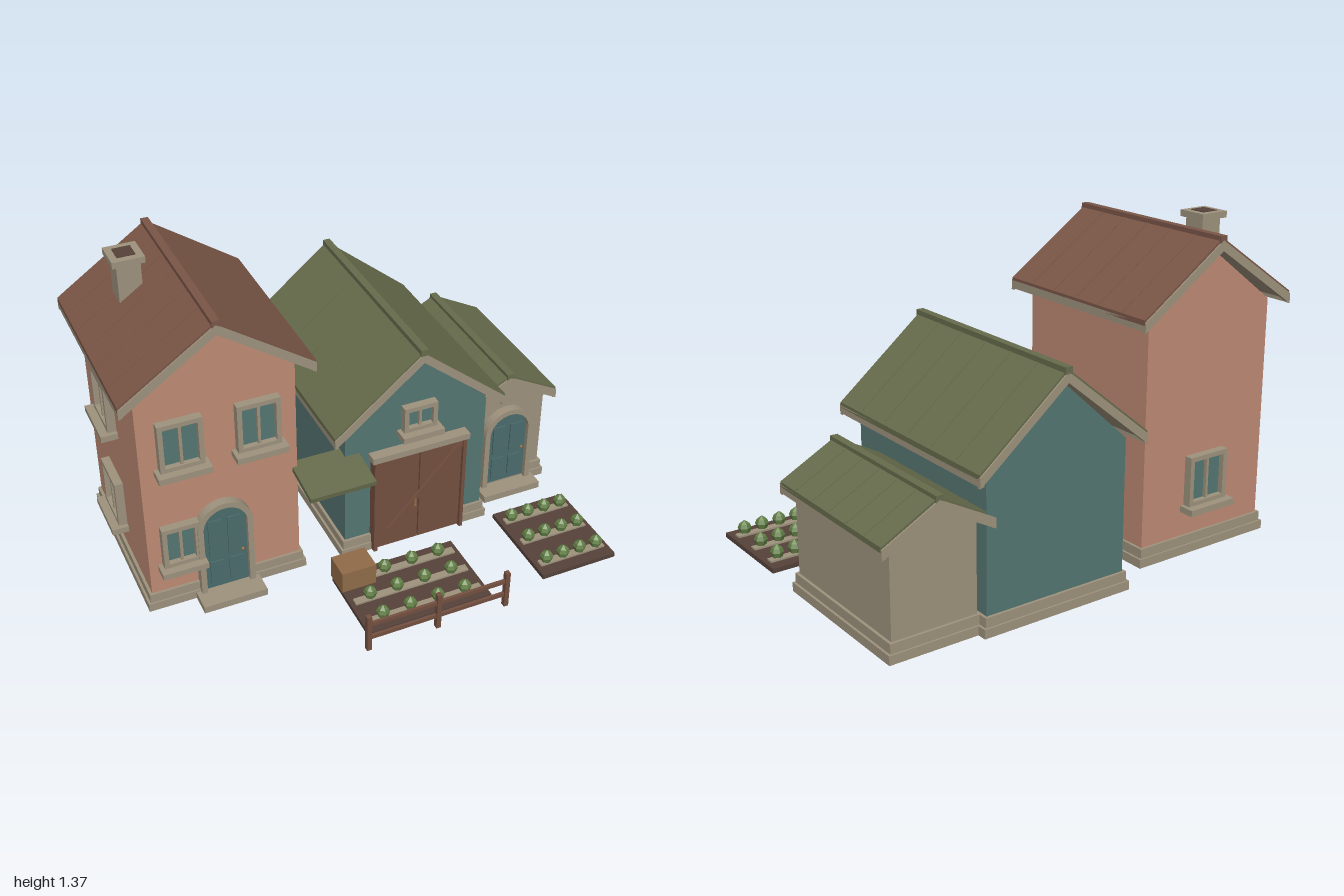
import * as THREE from 'three';

const mat = (name, color, extra = {}) => new THREE.MeshStandardMaterial({ name, color, ...extra });

export function createModel() {
  const root = new THREE.Group();
  root.name = 'farmstead';
  const M = {
    plaster: mat('salmonPlaster', 0xbe8a74),
    teal: mat('tealPaint', 0x557672),
    door: mat('doorTeal', 0x4a6c6b),
    stone: mat('stoneTrim', 0x9e927d),
    clay: mat('clayRoof', 0x7a5647),
    moss: mat('mossRoof', 0x676c4c),
    wood: mat('darkWood', 0x745040),
    soil: mat('soil', 0x55423a),
    leaf: mat('leaf', 0x627f45),
    crate: mat('crateWood', 0x8f6b48),
  };

  // ---- helpers ----
  const add = (parent, name, geo, material, x = 0, y = 0, z = 0) => {
    const m = new THREE.Mesh(geo, material);
    m.name = name;
    m.position.set(x, y, z);
    parent.add(m);
    return m;
  };
  const group = (parent, name, x = 0, y = 0, z = 0) => {
    const g = new THREE.Group();
    g.name = name;
    g.position.set(x, y, z);
    parent.add(g);
    return g;
  };
  // box given by its min and max corners
  const box = (parent, name, material, [x0, x1], [y0, y1], [z0, z1]) =>
    add(parent, name, new THREE.BoxGeometry(x1 - x0, y1 - y0, z1 - z0), material,
      (x0 + x1) / 2, (y0 + y1) / 2, (z0 + z1) / 2);
  const poly = (pts) => new THREE.Shape(pts.map(([x, y]) => new THREE.Vector2(x, y)));
  const extrude = (shape, depth) =>
    new THREE.ExtrudeGeometry(shape, { depth, bevelEnabled: false, curveSegments: 10 });
  const rectPts = (w, h) => [[-w / 2, 0], [w / 2, 0], [w / 2, h], [-w / 2, h]];

  // inverted V following the two roof slopes, `drop` below the top line
  const chevron = (half, apex, eave, drop, thick) => poly([
    [0, apex - drop], [-half, eave - drop], [-half, eave - drop - thick],
    [0, apex - drop - thick], [half, eave - drop - thick], [half, eave - drop]]);

  function gableRoof(parent, { half, apex, eave, z0, z1, material }) {
    const g = group(parent, 'roof');
    add(g, 'roofPanels', extrude(chevron(half, apex, eave, 0, 0.022), z1 - z0 - 0.012), material, 0, 0, z0 + 0.006);
    add(g, 'roofUnderside', extrude(chevron(half - 0.012, apex, eave + 0.008, 0.022, 0.02), z1 - z0 - 0.03), M.stone, 0, 0, z0 + 0.015);
    for (const z of [z0, z1 - 0.018])
      add(g, 'bargeboard', extrude(chevron(half, apex, eave, 0.01, 0.042), 0.018), M.stone, 0, 0, z);
    box(g, 'ridgeCap', material, [-0.016, 0.016], [apex - 0.02, apex + 0.008], [z0, z1]);
    const slope = Math.atan2(apex - eave, half), len = Math.hypot(half, apex - eave);
    for (const s of [-1, 1]) {
      box(g, 'eaveFascia', M.stone, s < 0 ? [-half, -half + 0.016] : [half - 0.016, half],
        [eave - 0.046, eave - 0.012], [z0, z1]);
      // thin seams running down each slope
      for (let i = 1; i < 6; i++) {
        const seam = add(g, 'roofSeam', new THREE.BoxGeometry(len * 0.94, 0.004, 0.006), material,
          s * half / 2, (apex + eave) / 2, z0 + (z1 - z0) * i / 6);
        seam.rotation.z = -s * slope;
      }
    }
  }

  function walls(parent, { half, top, peak, z0, z1, material }) {
    add(parent, 'walls', extrude(poly([[-half, 0.03], [half, 0.03], [half, top], [0, peak], [-half, top]]), z1 - z0), material, 0, 0, z0);
    box(parent, 'lowerPlinth', M.stone, [-half - 0.022, half + 0.022], [0, 0.038], [z0 - 0.02, z1 + 0.02]);
    box(parent, 'upperPlinth', M.stone, [-half - 0.012, half + 0.012], [0.038, 0.078], [z0 - 0.012, z1 + 0.012]);
  }

  // window facing +z, origin at bottom centre of the frame on the wall
  function windowUnit(parent, x, y, z, w, h, turn = 0) {
    const g = group(parent, 'window', x, y, z);
    g.rotation.y = turn;
    const b = 0.02, frame = poly(rectPts(w, h));
    frame.holes.push(new THREE.Path([[-w / 2 + b, b], [-w / 2 + b, h - b], [w / 2 - b, h - b], [w / 2 - b, b]]
      .map(([px, py]) => new THREE.Vector2(px, py))));
    add(g, 'windowFrame', extrude(frame, 0.036), M.stone);
    box(g, 'glass', M.teal, [-w / 2 + b, w / 2 - b], [b, h - b], [0.004, 0.012]);
    box(g, 'mullion', M.stone, [-0.006, 0.006], [b, h - b], [0.01, 0.028]);
    box(g, 'windowSill', M.stone, [-w / 2 - 0.018, w / 2 + 0.018], [-0.025, 0.002], [0, 0.07]);
  }

  const arch = (half, spring) => {
    const s = new THREE.Shape();
    s.moveTo(-half, 0);
    s.lineTo(half, 0);
    s.lineTo(half, spring);
    s.absarc(0, spring, half, 0, Math.PI, false);
    s.lineTo(-half, 0);
    return s;
  };
  function archedDoor(parent, x, z, half, top) {
    const g = group(parent, 'archedDoor', x, 0.03, z);
    const spring = top - 0.03 - half, inner = half - 0.024;
    const frame = arch(half, spring);
    frame.holes.push(new THREE.Path(arch(inner, spring).getPoints(12).reverse()));
    add(g, 'doorFrame', extrude(frame, 0.04), M.stone);
    add(g, 'doorLeaf', extrude(arch(inner, spring), 0.02), M.door);
    for (const s of [-1, 1])
      for (const [y0, y1] of [[0.03, 0.14], [0.165, spring + 0.03]])
        box(g, 'doorPanel', M.door, s < 0 ? [-inner * 0.75, -0.012] : [0.012, inner * 0.75], [y0, y1], [0.02, 0.026]);
    add(g, 'doorKnob', new THREE.SphereGeometry(0.008, 8, 6), M.crate, inner * 0.75, 0.175, 0.032);
    box(g, 'doorStep', M.stone, [-half - 0.02, half + 0.02], [-0.03, 0.002], [0, 0.12 - (half > 0.118 ? 0.02 : 0)]);
  }

  // ---- tall house ----
  const house = group(root, 'house', -0.607);
  walls(house, { half: 0.322, top: 1.02, peak: 1.265, z0: -0.572, z1: 0.165, material: M.plaster });
  gableRoof(house, { half: 0.39, apex: 1.32, eave: 1.052, z0: -0.63, z1: 0.222, material: M.clay });
  archedDoor(house, -0.006, 0.165, 0.117, 0.47);
  windowUnit(house, -0.158, 0.69, 0.165, 0.18, 0.22);
  windowUnit(house, 0.158, 0.69, 0.165, 0.18, 0.22);
  windowUnit(house, -0.19, 0.215, 0.165, 0.155, 0.195);
  for (const y of [0.69, 0.21]) windowUnit(house, -0.322, y, -0.235, 0.2, 0.215, -Math.PI / 2);
  windowUnit(house, 0, 0.21, -0.572, 0.2, 0.215, Math.PI);
  // chimney
  box(house, 'chimneyStack', M.stone, [-0.217, -0.12], [1.08, 1.34], [-0.383, -0.287]);
  box(house, 'chimneyCap', M.stone, [-0.237, -0.105], [1.335, 1.362], [-0.4, -0.268]);
  box(house, 'chimneyFlue', M.soil, [-0.208, -0.134], [1.358, 1.365], [-0.371, -0.297]);

  // ---- barn ----
  const barn = group(root, 'barn', 0.237);
  walls(barn, { half: 0.322, top: 0.63, peak: 0.925, z0: -0.685, z1: 0.185, material: M.teal });
  gableRoof(barn, { half: 0.385, apex: 0.975, eave: 0.66, z0: -0.74, z1: 0.235, material: M.moss });
  windowUnit(barn, 0.003, 0.585, 0.185, 0.15, 0.12);
  const doors = group(barn, 'barnDoors', 0.006, 0, 0.185);
  for (const s of [-1, 1]) {
    box(doors, 'barnDoorLeaf', M.wood, s < 0 ? [-0.2, -0.003] : [0.003, 0.2], [0.01, 0.485], [0, 0.03]);
    box(doors, 'barnDoorPost', M.wood, s < 0 ? [-0.212, -0.196] : [0.196, 0.212], [0.005, 0.485], [0, 0.045]);
  }
  box(doors, 'barnDoorHeader', M.stone, [-0.222, 0.222], [0.48, 0.508], [0, 0.05]);
  const brace = add(doors, 'barnDoorBrace', new THREE.BoxGeometry(0.5, 0.02, 0.012), M.wood, 0.028, 0.28, 0.034);
  brace.rotation.z = Math.atan2(0.37, 0.34);
  box(doors, 'barnDoorHandle', M.crate, [-0.025, -0.015], [0.19, 0.23], [0.03, 0.042]);

  // awning between house and barn
  const awning = add(root, 'awning', new THREE.BoxGeometry(0.285, 0.022, 0.222), M.moss, -0.163, 0.503, 0.242);
  awning.rotation.x = 0.14;

  // ---- shed ----
  const shed = group(root, 'shed', 0.757);
  walls(shed, { half: 0.183, top: 0.44, peak: 0.555, z0: -0.645, z1: 0.032, material: M.stone });
  gableRoof(shed, { half: 0.238, apex: 0.597, eave: 0.47, z0: -0.69, z1: 0.05, material: M.moss });
  archedDoor(shed, 0.002, 0.032, 0.119, 0.43);

  // ---- vegetable beds ----
  const sprout = new THREE.LatheGeometry([[0, 0], [0.022, 0.008], [0.029, 0.03], [0.022, 0.047], [0, 0.063]]
    .map(([x, y]) => new THREE.Vector2(x, y)), 6);
  const leafFlat = M.leaf;
  leafFlat.flatShading = true;
  function bed(name, xs, zs, rows, cols) {
    const g = group(root, name);
    box(g, 'soilBed', M.soil, xs, [0, 0.02], zs);
    for (const z of rows) {
      box(g, 'plantRow', M.stone, [xs[0] + 0.02, xs[1] - 0.02], [0.018, 0.028], [z - 0.017, z + 0.017]);
      for (const x of cols) add(g, 'plant', sprout, leafFlat, x, 0.026, z);
    }
  }
  bed('frontBed', [-0.2, 0.355], [0.315, 0.675], [0.375, 0.495, 0.617], [-0.11, 0.012, 0.137, 0.26]);
  bed('sideBed', [0.605, 0.955], [0.235, 0.668], [0.305, 0.45, 0.6], [0.657, 0.737, 0.818, 0.898]);

  // crate
  box(root, 'crate', M.crate, [-0.2, -0.048], [0.015, 0.118], [0.303, 0.42]);

  // ---- fence ----
  const fence = group(root, 'fence', 0, 0, 0.732);
  for (const x of [-0.227, 0.078, 0.386])
    box(fence, 'fencePost', M.wood, [x - 0.01, x + 0.01], [0, 0.175], [-0.011, 0.011]);
  for (const y of [0.062, 0.13])
    box(fence, 'fenceRail', M.wood, [-0.227, 0.386], [y - 0.009, y + 0.009], [-0.006, 0.006]);

  return root;
}
